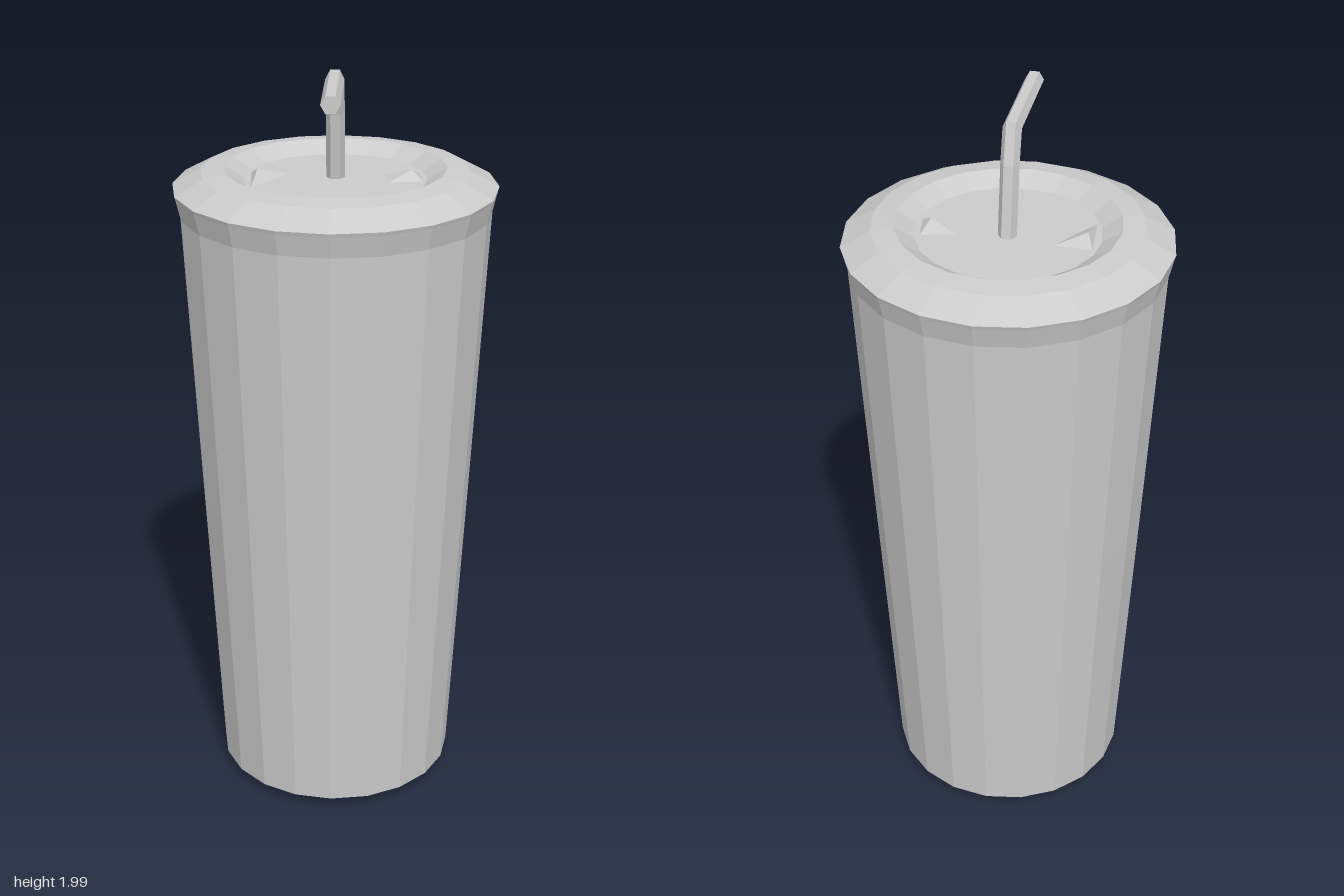
import * as THREE from 'three';
import { ConvexGeometry } from 'three/addons/geometries/ConvexGeometry.js';

const SIDES = 20;

export function createModel() {
  const group = new THREE.Group();
  const material = new THREE.MeshStandardMaterial({ color: 0xcccccc, flatShading: true });
  const add = (name, geometry) => {
    const mesh = new THREE.Mesh(geometry, material);
    mesh.name = name;
    group.add(mesh);
    return mesh;
  };
  const lathe = (points) =>
    new THREE.LatheGeometry(points.map(([r, y]) => new THREE.Vector2(r, y)), SIDES);

  // Tapered cup with a chamfered foot
  add('cup', lathe([[0, 0.005], [0.27, 0.005], [0.322, 0.035], [0.364, 0.85], [0.403, 1.63], [0.416, 1.685]]));

  // Domed lid with a shallow recess
  add('lid', lathe([[0.416, 1.685], [0.419, 1.695], [0.345, 1.735], [0.285, 1.743], [0.235, 1.712], [0, 1.712]]));

  // Two small raised tabs at the edge of the recess
  const tab = (name, corners, peak) => add(name, new ConvexGeometry([
    ...corners.map(([x, z]) => new THREE.Vector3(x, 1.71, z)),
    new THREE.Vector3(...peak),
  ]));
  tab('rightTab', [[-0.22, -0.05], [-0.115, -0.045], [-0.165, 0.035], [-0.21, 0.09]], [-0.2, 1.735, 0]);
  tab('leftTab', [[0.12, -0.04], [0.215, -0.06], [0.228, 0.025], [0.13, 0.038]], [0.195, 1.735, -0.005]);

  add('straw', strawGeometry(
    [[1.70, -0.017], [1.89, 0.014], [1.976, 0.042], [1.978, 0.322]], 0.024, 6));
  return group;
}

// Bent prism swept along [y, z] points, with mitred joints and closed ends
function strawGeometry(path, radius, sides) {
  const pts = path.map(([y, z]) => new THREE.Vector2(z, y));
  const positions = [];
  const index = [];
  pts.forEach((p, i) => {
    const before = p.clone().sub(pts[Math.max(i - 1, 0)]).normalize();
    const after = pts[Math.min(i + 1, pts.length - 1)].clone().sub(p).normalize();
    const t = before.clone().add(after).normalize();
    const stretch = 1 / t.dot(i ? before : after);
    for (let k = 0; k < sides; k++) {
      const a = (k / sides) * Math.PI * 2;
      const across = Math.sin(a) * radius * stretch;
      positions.push(Math.cos(a) * radius, p.y + t.x * across, p.x - t.y * across);
    }
    if (i === 0) return;
    for (let k = 0; k < sides; k++) {
      const a = (i - 1) * sides + k;
      const b = (i - 1) * sides + ((k + 1) % sides);
      index.push(a, b, b + sides, a, b + sides, a + sides);
    }
  });
  const last = (pts.length - 1) * sides;
  for (let k = 1; k < sides - 1; k++) {
    index.push(0, k + 1, k, last, last + k, last + k + 1);
  }
  const geometry = new THREE.BufferGeometry();
  geometry.setAttribute('position', new THREE.Float32BufferAttribute(positions, 3));
  geometry.setIndex(index);
  geometry.computeVertexNormals();
  return geometry;
}
